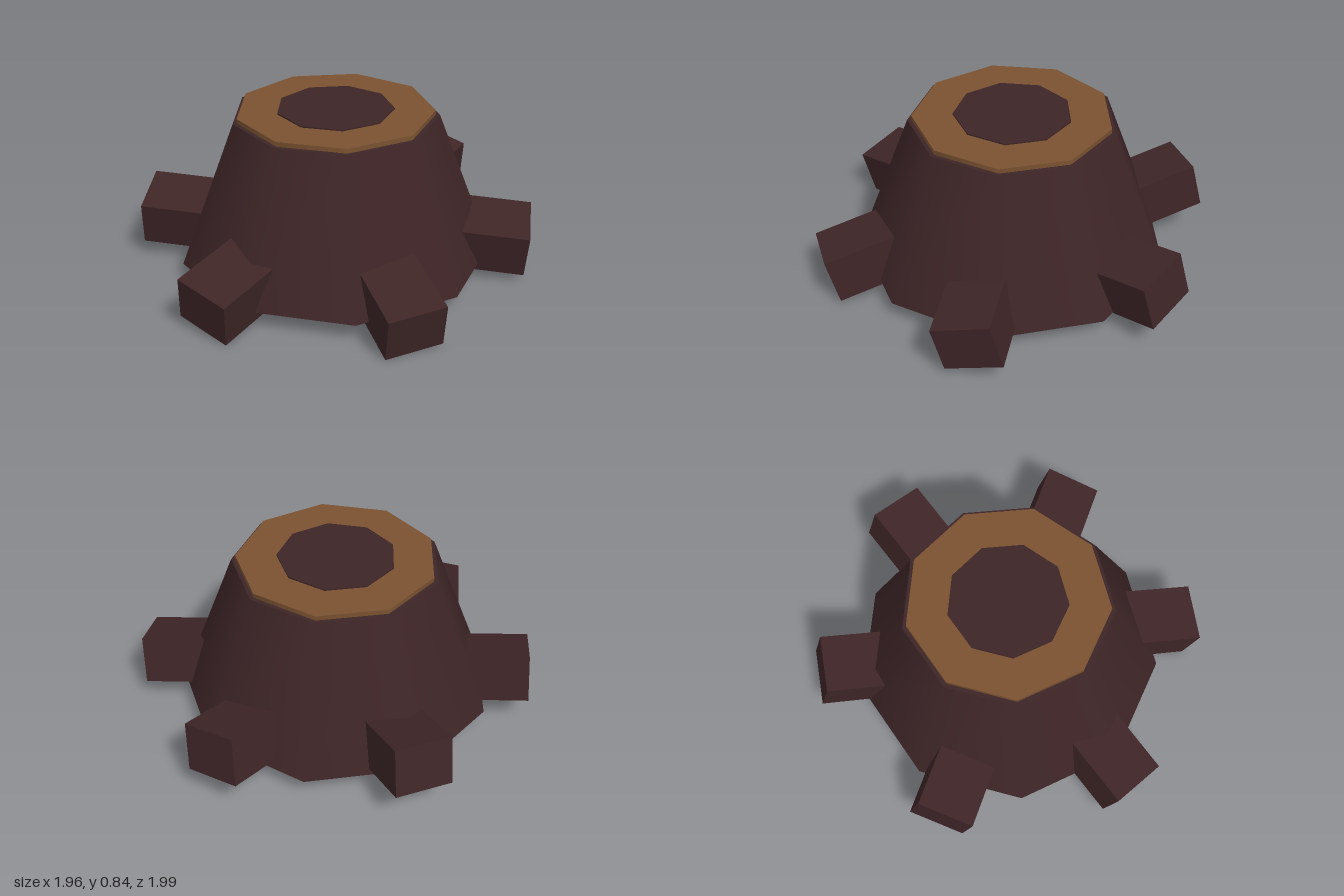
import * as THREE from 'three';

export function createModel() {
  const group = new THREE.Group();
  group.name = 'treeStump';

  const bark = new THREE.MeshStandardMaterial({ color: 0x3e2527 });
  bark.name = 'dark bark';
  const wood = new THREE.MeshStandardMaterial({ color: 0x7a5230 });
  wood.name = 'cut wood';

  // Nine-sided tapered disc between two heights
  const disc = (name, rTop, rBottom, y0, y1, material) => {
    const mesh = new THREE.Mesh(new THREE.CylinderGeometry(rTop, rBottom, y1 - y0, 9), material);
    mesh.position.y = (y0 + y1) / 2;
    mesh.name = name;
    group.add(mesh);
  };

  disc('trunk', 0.51, 0.79, 0.1, 0.82, bark);
  disc('cutTop', 0.49, 0.49, 0.8, 0.843, wood);
  disc('heartwood', 0.29, 0.29, 0.81, 0.85, bark);

  // Six block roots around the base, all leaning by the same tilt about x
  const rootGeometry = new THREE.BoxGeometry(0.286, 0.238, 0.715);
  for (let i = 0; i < 6; i++) {
    const angle = THREE.MathUtils.degToRad(15 + i * 60);
    const root = new THREE.Mesh(rootGeometry, bark);
    root.name = `root${i + 1}`;
    root.position.set(Math.sin(angle) * 0.617, 0.216, Math.cos(angle) * 0.617);
    root.rotation.set(0.25, angle, 0); // turned outward first, then tilted
    group.add(root);
  }

  return group;
}
